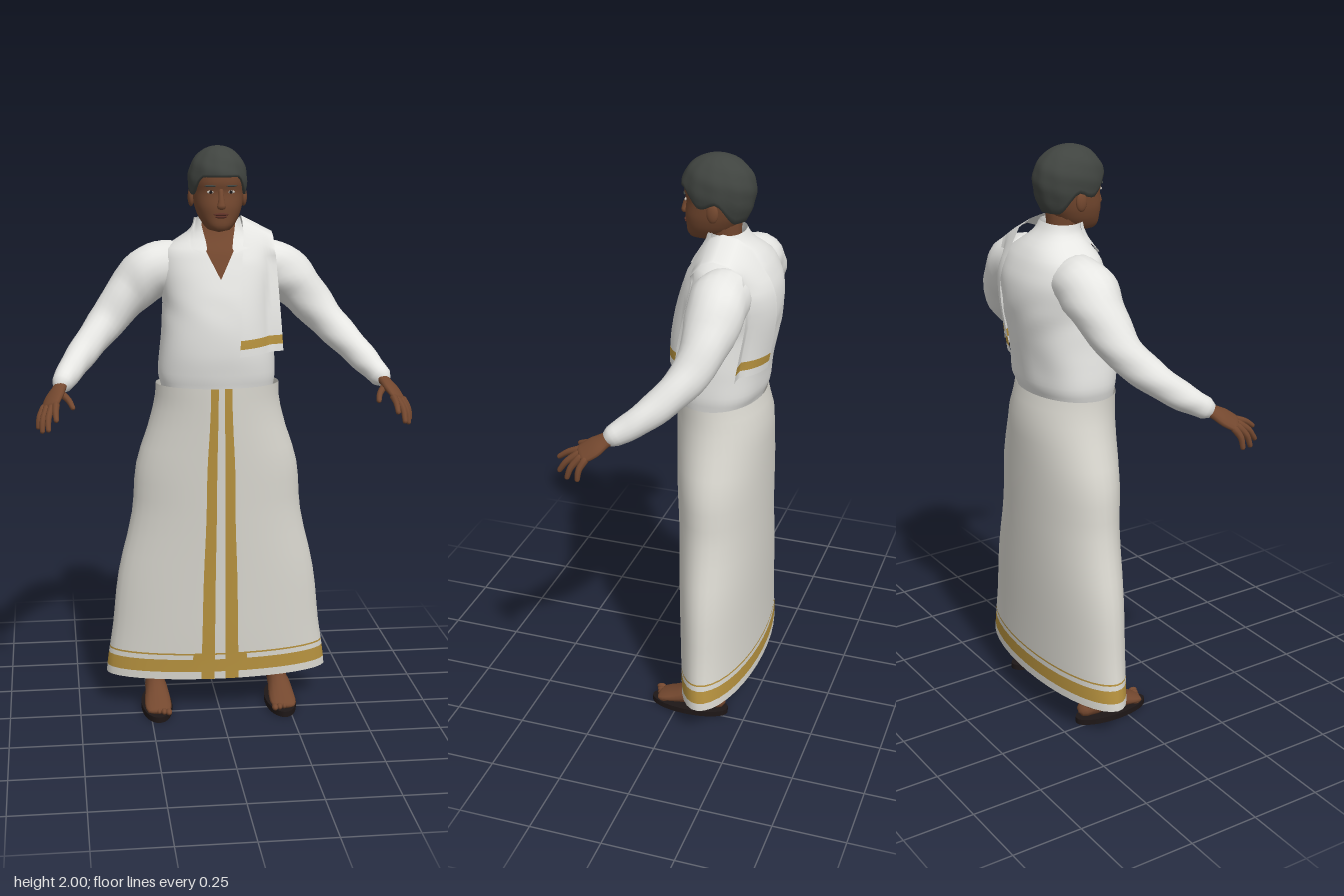
import * as THREE from 'three';

const mat = (name, color, side = THREE.FrontSide) => {
  const m = new THREE.MeshStandardMaterial({ color, side });
  m.name = name;
  return m;
};
const V = (x, y, z) => new THREE.Vector3(x, y, z);
const { lerp, clamp, smoothstep } = THREE.MathUtils;

// Grid surface from rows (top to bottom) of points; isAlt(i, j) puts a cell in the second group
function grid(rows, closed, isAlt = () => false) {
  const n = rows[0].length, idx = [[], []];
  for (let i = 0; i < rows.length - 1; i++) {
    for (let j = 0; j < (closed ? n : n - 1); j++) {
      const k = (j + 1) % n, a = i * n + j, b = a + n, c = (i + 1) * n + k, d = i * n + k;
      idx[isAlt(i, j) ? 1 : 0].push(a, b, c, a, c, d);
    }
  }
  const g = new THREE.BufferGeometry().setFromPoints(rows.flat());
  g.setIndex([...idx[0], ...idx[1]]);
  g.addGroup(0, idx[0].length, 0);
  g.addGroup(idx[0].length, idx[1].length, 1);
  g.computeVertexNormals();
  return g;
}

// Smooth interpolation of table rows [y, halfWidth, zFront, zBack], listed from the top down
function profile(table) {
  return (y) => {
    let i = 0;
    while (i < table.length - 2 && y < table[i + 1][0]) i++;
    const at = (k) => table[clamp(k, 0, table.length - 1)];
    const t = clamp((y - at(i)[0]) / (at(i + 1)[0] - at(i)[0]), 0, 1);
    return [1, 2, 3].map((c) => {
      const p0 = at(i - 1)[c], p1 = at(i)[c], p2 = at(i + 1)[c], p3 = at(i + 2)[c];
      return p1 + 0.5 * t * (p2 - p0 + t * (2 * p0 - 5 * p1 + 4 * p2 - p3 + t * (3 * (p1 - p2) + p3 - p0)));
    });
  };
}
// Point on the body section at height y, angle a from the front
function section(prof, y, a, n = 2.3) {
  const [w, f, b] = prof(y), p = 2 / n, s = Math.sin(a), c = Math.cos(a);
  return V(w * Math.sign(s) * Math.abs(s) ** p, y, (f + b) / 2 + ((f - b) / 2) * Math.sign(c) * Math.abs(c) ** p);
}
// Depth of that body at x, y; side is 1 for front and -1 for back
function depth(prof, x, y, side = 1, limit = 0.95, n = 2.3) {
  const [w, f, b] = prof(y), r = Math.min(Math.abs(x) / w, limit);
  return (f + b) / 2 + (side * (f - b) / 2) * (1 - r ** n) ** (1 / n);
}
function body(prof, top, bottom, rowsN, seg, warp = (p) => p) {
  const rows = [];
  for (let i = 0; i <= rowsN; i++) {
    const y = lerp(top, bottom, i / rowsN);
    rows.push(Array.from({ length: seg }, (_, j) => warp(section(prof, y, (j / seg) * Math.PI * 2))));
  }
  return grid(rows, true);
}

// Rounded limb through [x, y, z, radius along side, other radius]
function limb(pts, side, s = 1, seg = 14, steps = 16, ripple = 0) {
  const curve = new THREE.CatmullRomCurve3(pts.map((p) => V(p[0] * s, p[1], p[2])));
  const radii = new THREE.CatmullRomCurve3(pts.map((p) => V(p[3], p[4] ?? p[3], 0)));
  const S0 = V(side[0] * s, side[1], side[2]), rows = [];
  const ring = (t, ext, k) => {
    const T = curve.getTangent(t), r = radii.getPoint(t);
    const c = curve.getPoint(t).addScaledVector(T, ext * Math.min(r.x, r.y));
    const S = S0.clone().addScaledVector(T, -S0.dot(T)).normalize(), B = S.clone().cross(T);
    rows.push(Array.from({ length: seg }, (_, j) => {
      const a = (j / seg) * Math.PI * 2, q = k * (1 + ripple * Math.sin(t * 31 + 2 * Math.sin(a * 2)));
      return c.clone().addScaledVector(S, r.x * q * Math.cos(a)).addScaledVector(B, r.y * q * Math.sin(a));
    }));
  };
  [[-0.8, 0.02], [-0.55, 0.7]].forEach(([e, k]) => ring(0, e, k));
  for (let i = 0; i <= steps; i++) ring(i / steps, 0, 1);
  [[0.55, 0.7], [0.8, 0.02]].forEach(([e, k]) => ring(1, e, k));
  return grid(rows, true);
}

export function createModel() {
  const model = new THREE.Group();
  const shirt = mat('shirt white', 0xe6e6e3, THREE.DoubleSide);
  const cloth = mat('wrap white', 0xdad8d0, THREE.DoubleSide);
  const gold = mat('gold border', 0xb8933f, THREE.DoubleSide);
  const skin = mat('brown skin', 0x74482f, THREE.DoubleSide);
  const hairMat = mat('dark hair', 0x404440, THREE.DoubleSide);
  const sole = mat('sandal black', 0x1e1717);
  const lip = mat('lips', 0x5c3026);
  const white = mat('eye white', 0xc9c2b8);
  const add = (name, geo, m, x = 0, y = 0, z = 0) => {
    const mesh = new THREE.Mesh(geo, m);
    mesh.name = name;
    mesh.position.set(x, y, z);
    model.add(mesh);
    return mesh;
  };
  const ball = (name, m, x, y, z, a, b, c) => add(name, new THREE.SphereGeometry(1, 16, 12).scale(a, b, c), m, x, y, z);

  // Long wrapped skirt with gold hem and two front stripes
  const skirtP = profile([[1.19, 0.215, 0.063, -0.235], [1.1, 0.225, 0.06, -0.258], [0.9, 0.285, 0.05, -0.258],
    [0.72, 0.302, 0.04, -0.255], [0.5, 0.352, 0.028, -0.253], [0.3, 0.375, 0.018, -0.25], [0.12, 0.4, 0.008, -0.25]]);
  const skirtY = [1.19, 1.15, 1.1, 1.03, 0.96, 0.9, 0.84, 0.78, 0.72, 0.64, 0.57, 0.5, 0.43, 0.36, 0.3, 0.25,
    0.219, 0.213, 0.195, 0.148, 0.12];
  const half = [0.05, 0.17, 0.25];
  for (let a = 0.42; a < 3.1; a += 0.17) half.push(a);
  const angles = [0, ...half, Math.PI, ...half.map((a) => Math.PI * 2 - a).reverse()];
  add('wrapSkirt', grid(skirtY.map((y) => angles.map((a) => section(skirtP, y, a, 2))), true, (i, j) => {
    const y = (skirtY[i] + skirtY[i + 1]) / 2;
    let a = (angles[j] + (angles[j + 1] ?? Math.PI * 2)) / 2;
    a = Math.min(a, Math.PI * 2 - a);
    return (y > 0.148 && y < 0.195) || (y > 0.213 && y < 0.219) || (a > 0.05 && a < 0.17) || (y > 0.148 && y < 0.219 && a > 0.05 && a < 0.25);
  }), [cloth, gold]);

  // Shirt body with soft folds
  const torsoP = profile([[1.755, 0.078, -0.045, -0.16], [1.72, 0.088, -0.035, -0.185], [1.69, 0.125, -0.022, -0.22],
    [1.65, 0.185, 0, -0.25], [1.58, 0.2, 0.025, -0.278], [1.5, 0.19, 0.05, -0.283], [1.4, 0.188, 0.068, -0.268],
    [1.3, 0.198, 0.07, -0.25], [1.22, 0.203, 0.06, -0.24], [1.17, 0.192, 0.05, -0.222]]);
  add('shirtBody', body(torsoP, 1.755, 1.17, 36, 48, (p) => {
    const k = smoothstep(1.62 - p.y, 0, 0.25) * (1 - smoothstep(p.z, -0.05, 0.05) * 0.7);
    const f = 1 + 0.014 * k * Math.sin(p.x * 38 + p.y * 21 + 2 * Math.sin(p.y * 17));
    return V(p.x * f, p.y, (p.z + 0.1) * f - 0.1);
  }), shirt);
  // Strips that lie on the chest: rows of [y, x start, x end]
  const strip = (rows, off) => grid(rows.map(([y, a, b]) => Array.from({ length: 9 }, (_, j) => {
    const x = lerp(a, b, j / 8);
    return V(x, y, depth(torsoP, x, y) + off);
  })), false);
  const neckRows = [];
  for (let i = 0; i <= 12; i++) {
    const y = lerp(1.757, 1.56, i / 12), w = Math.min(0.06, (y - 1.56) * 0.5 + 0.001);
    neckRows.push([y, -w, w]);
  }
  add('openNeck', strip(neckRows, 0.004), skin);
  for (const s of [1, -1]) {
    const flap = [[1.757, 0.055, 0.077], [1.735, 0.057, 0.083], [1.71, 0.052, 0.092], [1.685, 0.046, 0.1], [1.66, 0.043, 0.1], [1.645, 0.05, 0.06]];
    add('collarFlap', strip(flap.map(([y, a, b]) => (s > 0 ? [y, a, b] : [y, -b, -a])), 0.01), shirt);
  }

  // Folded shawl over the left shoulder, hanging front and back
  const drape = [1.31, 1.335, 1.365, 1.41, 1.45, 1.49, 1.53, 1.57, 1.6, 1.63];
  const drapeRow = (y, side) => Array.from({ length: 11 }, (_, j) => {
    const t = (y - 1.31) / 0.4, x = lerp(lerp(0.06, 0.08, t), lerp(0.218, 0.192, t), j / 10);
    return V(x, y - (side > 0 ? 0.01 * (1 - j / 10) * (1 - t) : 0), depth(torsoP, x, y, side, 0.88) + side * 0.013);
  });
  const overRow = (z, dy) => Array.from({ length: 11 }, (_, j) => V(lerp(0.085, 0.192, j / 10), 1.762 - 0.055 * (j / 10) - dy, z));
  const shawlRows = [...drape.map((y) => drapeRow(y, 1)), overRow(-0.035, 0.055), overRow(-0.07, 0.015), overRow(-0.11, 0),
    overRow(-0.16, 0.01), overRow(-0.205, 0.035), ...drape.map((y) => drapeRow(y, -1)).reverse()];
  add('shoulderShawl', grid(shawlRows.reverse(), false, (i) => i === 1 || i === shawlRows.length - 3), [shirt, gold]);

  // Arms, hands, legs and feet
  for (const s of [1, -1]) {
    add('sleeve', limb([[0.13, 1.6, -0.135, 0.08, 0.09], [0.22, 1.572, -0.135, 0.094, 0.098], [0.3, 1.5, -0.13, 0.08, 0.084],
      [0.38, 1.405, -0.1, 0.064], [0.45, 1.33, -0.035, 0.054], [0.505, 1.27, 0.04, 0.046], [0.54, 1.23, 0.105, 0.036]],
    [0, 1, 0], s, 20, 30, 0.025), shirt);
    const across = [0.04, -0.015, -0.045];
    add('palm', limb([[0.535, 1.237, 0.09, 0.024, 0.02], [0.55, 1.218, 0.125, 0.028, 0.018], [0.568, 1.195, 0.16, 0.04, 0.016],
      [0.582, 1.172, 0.195, 0.038, 0.012]], across, s), skin);
    const fingers = [
      [[0.562, 1.18, 0.205], [0.564, 1.165, 0.245], [0.563, 1.142, 0.278]],
      [[0.576, 1.172, 0.205], [0.588, 1.143, 0.243], [0.589, 1.108, 0.268]],
      [[0.592, 1.167, 0.195], [0.606, 1.133, 0.222], [0.609, 1.097, 0.235]],
      [[0.602, 1.165, 0.175], [0.617, 1.136, 0.19], [0.622, 1.102, 0.195]],
      [[0.545, 1.205, 0.14], [0.52, 1.188, 0.185], [0.508, 1.172, 0.228]]];
    fingers.forEach((f, i) => add(i < 4 ? 'finger' : 'thumb',
      limb(f.map((p, k) => [...p, 0.0125 - k * 0.002]), [1, 0.3, -0.4], s, 8, 6), skin));
    add('lowerLeg', limb([[0.2, 0.4, -0.12, 0.06], [0.215, 0.25, -0.125, 0.05], [0.222, 0.13, -0.125, 0.036], [0.225, 0.06, -0.125, 0.036, 0.04]],
      [1, 0, 0], s), skin);
    add('foot', limb([[0.225, 0.047, -0.155, 0.03, 0.026], [0.225, 0.058, -0.115, 0.037, 0.04], [0.224, 0.062, -0.06, 0.04, 0.042],
      [0.224, 0.046, 0, 0.046, 0.027], [0.224, 0.036, 0.045, 0.046, 0.016], [0.222, 0.031, 0.065, 0.04, 0.012]], [1, 0, 0], s), skin);
    for (let i = 0; i < 5; i++) ball('toe', skin, s * (0.19 + i * 0.017), 0.031, 0.078 - i * 0.007, 0.011 - i * 0.001, 0.011, 0.018);
    add('sandalSole', new THREE.CylinderGeometry(1, 1, 0.02, 32).scale(0.055, 1, 0.142), sole, s * 0.225, 0.01, -0.042);
  }

  // Neck, head and face
  add('neck', limb([[0, 1.58, -0.11, 0.065], [0, 1.68, -0.1, 0.06], [0, 1.79, -0.085, 0.06]], [0, 0, 1]), skin);
  const headP = profile([[1.985, 0.01, -0.06, -0.08], [1.96, 0.07, 0.01, -0.15], [1.92, 0.089, 0.038, -0.18], [1.88, 0.09, 0.043, -0.182],
    [1.85, 0.087, 0.036, -0.178], [1.8, 0.08, 0.04, -0.155], [1.765, 0.068, 0.037, -0.13], [1.735, 0.05, 0.034, -0.1],
    [1.72, 0.032, 0.022, -0.08], [1.714, 0.004, -0.02, -0.03]]);
  add('head', body(headP, 1.985, 1.714, 30, 32), skin);
  add('nose', limb([[0, 1.858, 0.032, 0.008], [0, 1.825, 0.043, 0.01], [0, 1.802, 0.047, 0.015, 0.012]], [1, 0, 0], 1, 12, 8), skin);
  ball('upperLip', lip, 0, 1.777, 0.039, 0.025, 0.005, 0.006);
  ball('lowerLip', lip, 0, 1.769, 0.038, 0.02, 0.005, 0.006);
  for (const s of [1, -1]) {
    ball('ear', skin, s * 0.09, 1.828, -0.075, 0.011, 0.032, 0.02);
    const z = depth(headP, 0.034, 1.851);
    ball('eye', white, s * 0.034, 1.851, z, 0.013, 0.0055, 0.004);
    ball('iris', sole, s * 0.034, 1.851, z + 0.003, 0.0055, 0.0055, 0.003);
    ball('eyebrow', hairMat, s * 0.036, 1.871, depth(headP, 0.036, 1.871), 0.02, 0.0035, 0.004).rotation.y = s * 0.3;
  }

  // Short hair cap, lower at the sides and nape
  const hairRows = [];
  for (let i = 0; i <= 18; i++) {
    hairRows.push(Array.from({ length: 48 }, (_, j) => {
      const a = (j / 48) * Math.PI * 2, d = Math.min(a, Math.PI * 2 - a);
      const line = 1.9 - 0.062 * smoothstep(d, 0.6, 1.25) + 0.02 * Math.exp(-(((d - 1.7) / 0.22) ** 2)) - 0.05 * smoothstep(d, 1.75, 2.4);
      const t = Math.min(i / 17, 1), y = 2 - (2 - line) * t ** 1.6, h = y - 1.89;
      let r = h > 0 ? Math.sqrt(Math.max(0, 1 - (h / 0.11) ** 2)) : 1 - 0.22 * (h / 0.1) ** 2;
      r *= 1 + 0.022 * Math.sin(a * 7 + y * 60) * Math.sin(a * 4 - y * 45);
      if (i === 18) r *= 0.82;
      return V(0.1 * r * Math.sin(a), y, -0.068 + 0.123 * r * Math.cos(a));
    }));
  }
  add('hair', grid(hairRows, true), hairMat);
  return model;
}
